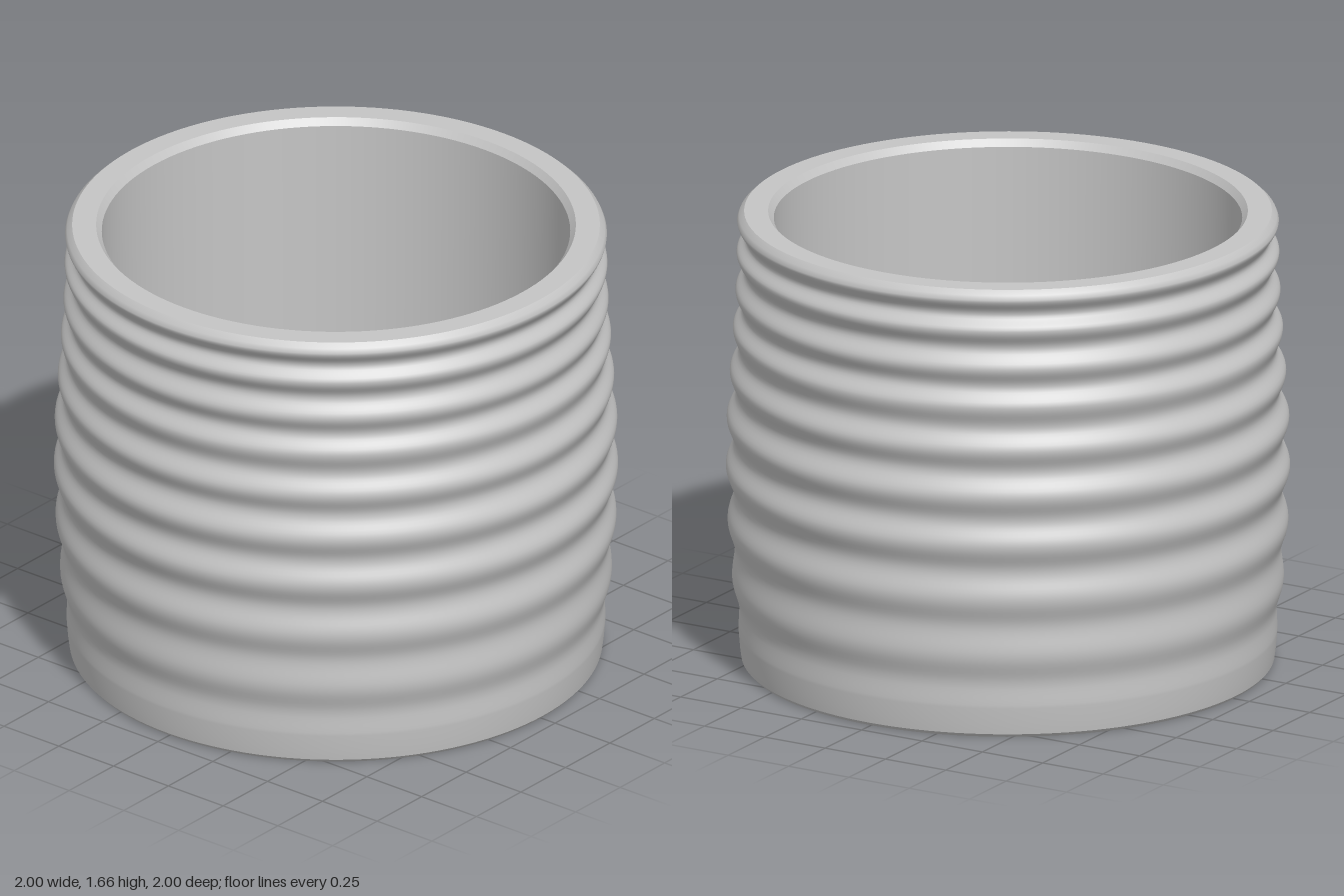
import * as THREE from 'three';

const SEGMENTS = 128;
const HEIGHT = 1.66;
const FLOOR = 0.08;

// Alternating crests and valleys of the ribbed wall: [radius, height]
const RIBS = [
  [0.955, 0.11], [0.952, 0.19], [0.978, 0.31], [0.968, 0.41], [0.994, 0.52], [0.972, 0.62],
  [1.0, 0.72], [0.972, 0.81], [0.997, 0.9], [0.963, 0.99], [0.986, 1.07], [0.953, 1.15],
  [0.975, 1.23], [0.942, 1.3], [0.966, 1.37], [0.933, 1.44], [0.962, 1.51], [0.93, 1.565], [0.96, 1.627],
];

export function createModel() {
  const group = new THREE.Group();
  group.name = 'ribbedPot';
  const grey = new THREE.MeshStandardMaterial({ color: 0xc4c4c4 });
  grey.name = 'light grey';

  const add = (name, geometry) => {
    const mesh = new THREE.Mesh(geometry, grey);
    mesh.name = name;
    group.add(mesh);
    return mesh;
  };
  const lathe = (name, points) =>
    add(name, new THREE.LatheGeometry(points.map(([r, y]) => new THREE.Vector2(r, y)), SEGMENTS));

  // Flat disc with round holes, facing up or down
  const plate = (name, radius, y, holes, holeRadius, up) => {
    const shape = new THREE.Shape().absarc(0, 0, radius, 0, Math.PI * 2);
    for (const [x, z] of holes) {
      shape.holes.push(new THREE.Path().absarc(x, up ? -z : z, holeRadius, 0, Math.PI * 2, true));
    }
    const geometry = new THREE.ShapeGeometry(shape, 64);
    geometry.rotateX(up ? -Math.PI / 2 : Math.PI / 2);
    add(name, geometry.translate(0, y, 0));
  };

  // Shallow round pocket: end disc plus an inward-facing wall
  const pocket = (name, x, z, radius, y, depth, up) => {
    const end = new THREE.CircleGeometry(radius, 48).rotateX(up ? -Math.PI / 2 : Math.PI / 2);
    add(name + 'End', end).position.set(x, up ? y - depth : y + depth, z);
    const low = up ? y - depth : y;
    const wall = [new THREE.Vector2(radius, low + depth), new THREE.Vector2(radius, low)];
    add(name + 'Wall', new THREE.LatheGeometry(wall, 48)).position.set(x, 0, z);
  };

  // Ribbed outer wall, eased between crests and valleys
  const profile = [[0.945, 0.012], [0.95, 0.05]];
  RIBS.forEach(([r, y], i) => {
    if (i > 0) {
      const [r0, y0] = RIBS[i - 1];
      for (let k = 1; k < 7; k++) {
        const t = k / 7;
        profile.push([r0 + (r - r0) * (0.5 - 0.5 * Math.cos(Math.PI * t)), y0 + (y - y0) * t]);
      }
    }
    profile.push([r, y]);
  });
  profile.push([0.953, 1.643], [0.935, HEIGHT]);
  lathe('outerWall', profile);
  lathe('baseBevel', [[0.935, 0], [0.945, 0.012]]);

  // Rim, chamfer and inner wall
  lathe('rim', [[0.935, HEIGHT], [0.85, HEIGHT]]);
  lathe('rimChamfer', [[0.85, HEIGHT], [0.83, HEIGHT - 0.025]]);
  lathe('innerWall', [[0.83, HEIGHT - 0.025], [0.815, FLOOR]]);

  // Inside floor with three shallow round pockets
  const floorSpots = [0, 1, 2].map((i) => {
    const a = -Math.PI / 2 + (i * Math.PI * 2) / 3;
    return [0.56 * Math.cos(a), 0.56 * Math.sin(a)];
  });
  plate('floor', 0.815, FLOOR, floorSpots, 0.075, true);
  floorSpots.forEach(([x, z]) => pocket('floorPocket', x, z, 0.075, FLOOR, 0.015, true));

  // Underside with four recesses for feet
  const footSpots = [0, 1, 2, 3].map((i) => {
    const a = Math.PI / 4 + (i * Math.PI) / 2;
    return [0.735 * Math.cos(a), 0.735 * Math.sin(a)];
  });
  plate('underside', 0.935, 0, footSpots, 0.12, false);
  footSpots.forEach(([x, z]) => pocket('footRecess', x, z, 0.12, 0, 0.018, false));

  return group;
}
